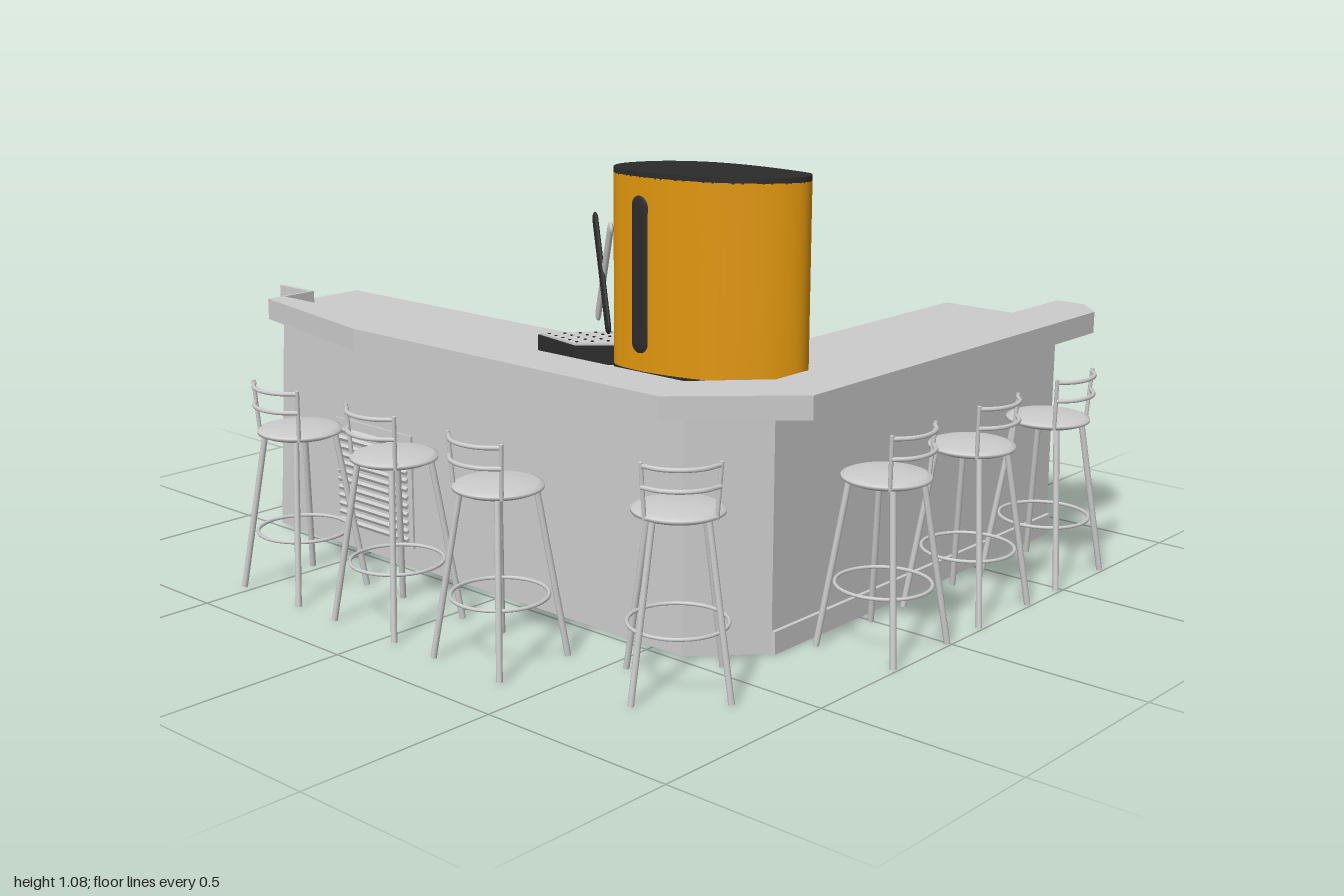
import * as THREE from 'three';

const mat = (color) => new THREE.MeshStandardMaterial({ color, side: THREE.DoubleSide });
const grey = mat(0xcccccc), black = mat(0x2b2b2b), amber = mat(0xe0960c), white = mat(0xf2f2ee);
const V = (x, y, z) => new THREE.Vector3(x, y, z);

function add(parent, name, geometry, material = grey, x = 0, y = 0, z = 0) {
  const m = new THREE.Mesh(geometry, material);
  m.name = name;
  m.position.set(x, y, z);
  parent.add(m);
  return m;
}
const box = (parent, name, x0, x1, y0, y1, z0, z1, material) =>
  add(parent, name, new THREE.BoxGeometry(x1 - x0, y1 - y0, z1 - z0), material,
    (x0 + x1) / 2, (y0 + y1) / 2, (z0 + z1) / 2);

// Extrudes a floor outline of [x, z] points from y0 to y1
function slab(pts, y0, y1) {
  const shape = new THREE.Shape(pts.map(([x, z]) => new THREE.Vector2(x, -z)));
  const g = new THREE.ExtrudeGeometry(shape, { depth: y1 - y0, bevelEnabled: false });
  return g.rotateX(-Math.PI / 2).translate(0, y0, 0);
}

// Straight rod between two points
function rod(parent, name, a, b, r, material = grey, r2 = r) {
  const m = add(parent, name, new THREE.CylinderGeometry(r2, r, a.distanceTo(b), 10), material);
  m.position.copy(a).lerp(b, 0.5);
  m.quaternion.setFromUnitVectors(V(0, 1, 0), b.clone().sub(a).normalize());
  return m;
}

function makeCounter() {
  const g = new THREE.Group();
  g.name = 'counter';
  const back = [[-0.385, -1], [-0.125, -1], [-0.125, 0.385]];
  const niche = [[-0.09, 0.385], [-0.09, 0.68], [0.24, 0.68], [0.24, 0.385]];
  const front = [[0.87, 0.385], [0.87, 0.73], [-0.33, 0.73], [-0.48, 0.59], [-0.48, -0.875], [-0.385, -0.875]];
  // Body in three layers, the middle one holding the open niche; far end leans in
  const layers = [['base', 0, 0.06, false], ['body', 0.06, 0.53, true], ['bodyTop', 0.53, 0.574, false]];
  for (const [name, y0, y1, open] of layers) {
    const geo = slab([...back, ...(open ? niche : []), ...front], y0, y1);
    const p = geo.attributes.position;
    for (let i = 0; i < p.count; i++) {
      const z = p.getZ(i);
      if (z < -0.85) p.setZ(i, z + p.getY(i) * (z < -0.95 ? 0.163 : 0.076));
    }
    geo.computeVertexNormals();
    add(g, name, geo);
  }
  box(g, 'kickBoard', -0.33, 0.87, 0, 0.055, 0.73, 0.74);
  // Worktop and raised outer bar ledge
  add(g, 'worktop', slab([[-0.385, -0.96], [-0.12, -0.96], [-0.12, 0.385], [0.87, 0.385], [0.87, 0.73],
    [-0.33, 0.73], [-0.48, 0.59], [-0.48, -0.83], [-0.385, -0.83]], 0.574, 0.592));
  add(g, 'barLedge', slab([[-0.53, -0.83], [-0.62, -0.37], [-0.62, 0.64], [-0.39, 0.88], [0.8, 0.88],
    [0.87, 0.81], [0.87, 0.73], [-0.33, 0.73], [-0.48, 0.59], [-0.48, -0.83]], 0.59, 0.645));
  box(g, 'endUpstand', -0.39, -0.38, 0.59, 0.645, -0.96, -0.83);
  box(g, 'endUpstand', -0.48, -0.38, 0.59, 0.645, -0.835, -0.825);

  // Cooler doors with hinges, latches and handles
  for (const [z0, z1, hinge, latch, handle] of [[-0.01, 0.31, 0.318, 0.015, -0.027], [-0.395, -0.065, -0.4, -0.095, -0.056]]) {
    box(g, 'coolerDoor', -0.125, -0.102, 0.09, 0.53, z0, z1);
    for (const y of [0.135, 0.465]) box(g, 'hinge', -0.125, -0.098, y - 0.025, y + 0.025, hinge - 0.009, hinge + 0.009, black);
    box(g, 'latch', -0.125, -0.1, 0.53, 0.55, latch - 0.03, latch + 0.03, black);
    box(g, 'doorHandle', -0.125, -0.098, 0.275, 0.34, handle - 0.009, handle + 0.009, black);
  }
  // Sliding cabinet doors with round pulls
  box(g, 'slidingDoor', 0.25, 0.54, 0.06, 0.54, 0.377, 0.386);
  box(g, 'slidingDoor', 0.54, 0.85, 0.06, 0.54, 0.381, 0.386);
  for (const x of [0.3, 0.8])
    add(g, 'doorPull', new THREE.CylinderGeometry(0.012, 0.012, 0.012, 16).rotateX(Math.PI / 2), black, x, 0.33, 0.375);

  // Louvred vent on the outer side
  box(g, 'ventFrame', -0.486, -0.48, 0.05, 0.35, -0.62, -0.32);
  for (let i = 0; i < 12; i++) {
    const s = box(g, 'ventSlat', -0.494, -0.484, 0.067 + i * 0.0225, 0.077 + i * 0.0225, -0.605, -0.335);
    s.rotation.z = 0.5;
  }
  return g;
}

function makeTower() {
  const g = new THREE.Group();
  g.name = 'tapTower';
  const outline = [[-0.31, 0.245], [-0.22, 0.28], [-0.16, 0.36], [-0.135, 0.46], [-0.138, 0.61], [-0.155, 0.685],
    [-0.2, 0.707], [-0.26, 0.68], [-0.34, 0.58], [-0.38, 0.45], [-0.387, 0.36], [-0.37, 0.28]];
  const curve = new THREE.CatmullRomCurve3(outline.map(([x, z]) => V(x, 0, z)), true);
  const ring = curve.getPoints(72).slice(0, 72).map((p) => [p.x, p.z]);
  // Upright strip following the tower wall between two curve parameters
  const strip = (u0, u1, y0, y1, off, n = 12) => {
    const pos = [], idx = [];
    for (let i = 0; i <= n; i++) {
      const u = u0 + (u1 - u0) * i / n, p = curve.getPoint(u), t = curve.getTangent(u);
      const x = p.x + t.z * off, z = p.z - t.x * off;
      pos.push(x, y0, z, x, y1, z);
      if (i < n) idx.push(2 * i, 2 * i + 1, 2 * i + 2, 2 * i + 2, 2 * i + 1, 2 * i + 3);
    }
    const geo = new THREE.BufferGeometry();
    geo.setAttribute('position', new THREE.Float32BufferAttribute(pos, 3));
    geo.setIndex(idx);
    geo.computeVertexNormals();
    return geo;
  };
  add(g, 'towerFoot', slab(ring, 0.59, 0.617), black);
  add(g, 'towerShell', strip(0, 1, 0.617, 1.068, 0, 96), amber);
  add(g, 'towerCap', slab(ring, 1.066, 1.08), black);
  add(g, 'tapPanel', strip(0.055, 0.13, 0.62, 1.066, 0.003), white);
  add(g, 'sidePanel', strip(0.145, 0.195, 0.645, 0.875, 0.004));
  // Rounded dark inlays and crossed bars on both sides
  for (const [x, z] of [[-0.138, 0.585], [-0.384, 0.375]]) {
    const m = add(g, 'darkInlay', new THREE.CapsuleGeometry(0.026, 0.32, 8, 16), black, x, 0.842, z);
    m.scale.x = 0.3;
  }
  for (const [x, z] of [[-0.43, 0.3], [-0.163, 0.54]]) {
    const cross = new THREE.Group();
    cross.name = 'crossedBars';
    cross.position.set(x, 0.845, z);
    cross.rotation.y = Math.atan2(0.14, 0.1);
    [[1, grey], [-1, black]].forEach(([s, m]) => {
      const bar = add(cross, 'bar', new THREE.CapsuleGeometry(0.016, 0.27, 6, 12), m, 0, 0, s * 0.003);
      bar.scale.z = 0.4;
      bar.rotation.z = s * 0.58;
    });
    g.add(cross);
  }
  return g;
}

function makeTaps() {
  const g = new THREE.Group();
  g.name = 'taps';
  // Drip tray with a perforated plate
  const tray = [[-0.345, 0], [-0.075, 0.23], [-0.09, 0.39], [-0.2, 0.33], [-0.375, 0.15]];
  add(g, 'dripTray', slab(tray, 0.592, 0.64), black);
  add(g, 'dripPlate', slab(tray.map(([x, z]) => [-0.217 + (x + 0.217) * 0.97, 0.22 + (z - 0.22) * 0.97]), 0.64, 0.645));
  for (let i = 0; i < 9; i++) for (let j = 0; j < 5; j++) {
    const x = -0.335 + i * 0.029 - j * 0.005, z = 0.03 + i * 0.0245 + j * 0.028;
    add(g, 'drainHole', new THREE.CylinderGeometry(0.004, 0.004, 0.002, 8), black, x, 0.6455, z);
  }
  // Two taps with spouts and dark handles
  for (const [x, z] of [[-0.205, 0.262], [-0.135, 0.315]]) {
    rod(g, 'tapColumn', V(x, 0.64, z), V(x, 0.83, z), 0.022);
    add(g, 'tapHead', new THREE.SphereGeometry(0.025, 16, 12), black, x, 0.84, z);
    rod(g, 'tapSpout', V(x, 0.84, z), V(x + 0.032, 0.825, z - 0.036), 0.009, black);
    rod(g, 'tapNozzle', V(x + 0.032, 0.83, z - 0.036), V(x + 0.034, 0.79, z - 0.038), 0.007);
    rod(g, 'tapHandle', V(x, 0.85, z), V(x + 0.008, 0.915, z - 0.008), 0.008, black, 0.016);
  }
  return g;
}

// Stool with its backrest towards local +z
function makeStool(x, z, turn) {
  const g = new THREE.Group();
  g.name = 'stool';
  const seat = [[0, 0.396], [0.09, 0.396], [0.104, 0.402], [0.104, 0.409], [0.09, 0.414], [0.05, 0.419], [0, 0.421]];
  add(g, 'seat', new THREE.LatheGeometry(seat.map(([r, y]) => new THREE.Vector2(r, y)), 32));
  for (const sx of [-1, 1]) for (const sz of [-1, 1])
    rod(g, 'leg', V(sx * 0.108, 0, sz * 0.108), V(sx * 0.06, 0.4, sz * 0.06), 0.0075);
  add(g, 'footRing', new THREE.TorusGeometry(0.112, 0.0045, 8, 40).rotateX(Math.PI / 2), grey, 0, 0.15, 0);
  const arc = (a, r, y) => V(Math.sin(a) * r, y, Math.cos(a) * r);
  for (const s of [-1, 1]) rod(g, 'backPost', arc(s * 0.88, 0.1, 0.4), arc(s * 0.88, 0.111, 0.53), 0.005);
  for (const y of [0.475, 0.522]) {
    const pts = [-2, -1, 0, 1, 2].map((i) => arc(i * 0.44, 0.109, y));
    add(g, 'backRail', new THREE.TubeGeometry(new THREE.CatmullRomCurve3(pts), 20, 0.0055, 8));
  }
  g.position.set(x, 0, z);
  g.rotation.y = turn;
  return g;
}

export function createModel() {
  const model = new THREE.Group();
  model.name = 'bar';
  model.add(makeCounter(), makeTower(), makeTaps());
  for (const z of [-0.42, -0.067, 0.285]) model.add(makeStool(-0.757, z, -Math.PI / 2));
  for (const x of [-0.113, 0.238, 0.588]) model.add(makeStool(x, 0.882, 0));
  model.add(makeStool(-0.615, 0.695, -Math.PI / 4));
  return model;
}
